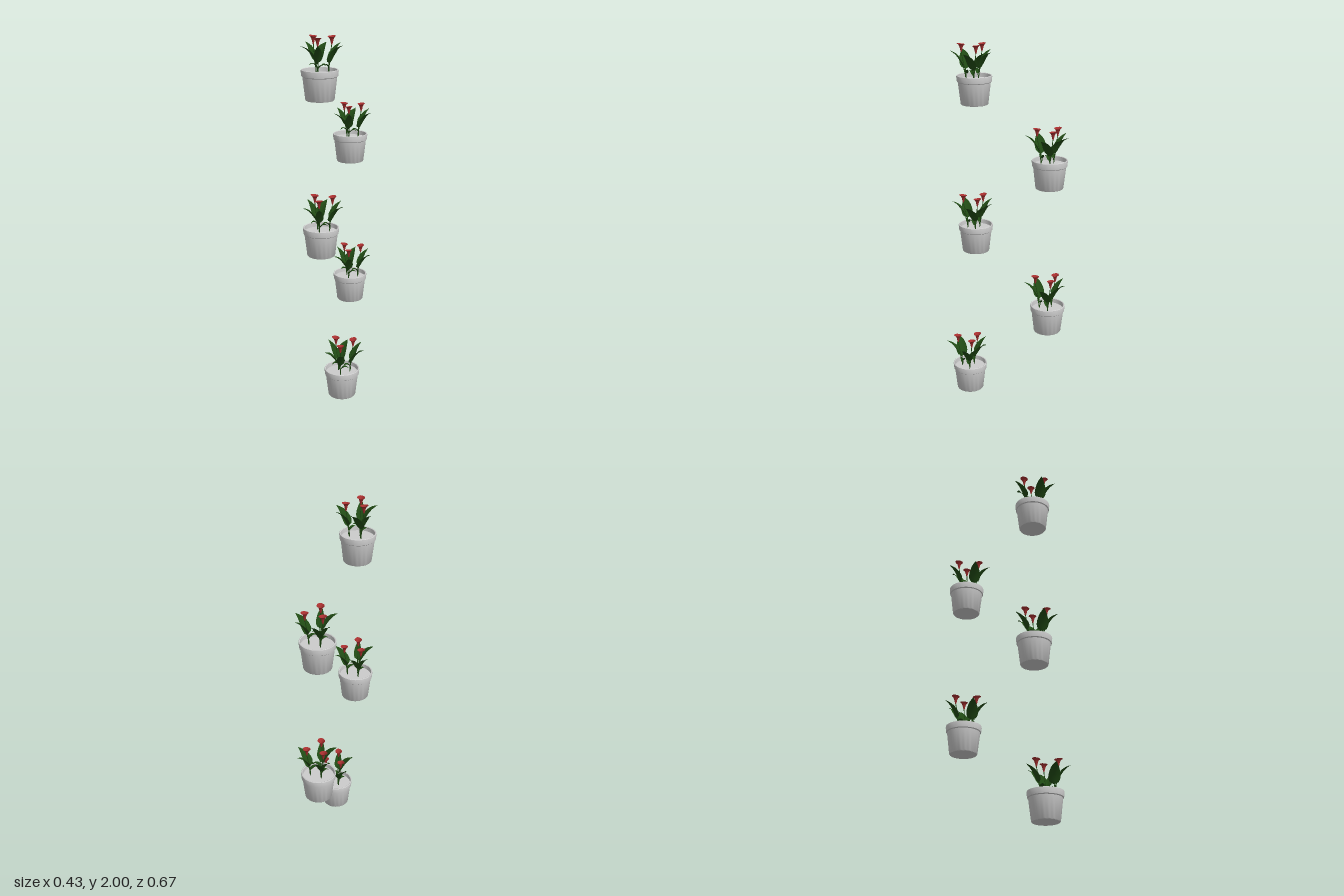
import * as THREE from 'three';
import { toCreasedNormals } from 'three/addons/utils/BufferGeometryUtils.js';

const V = (x, y, z) => new THREE.Vector3(x, y, z);
const grey = new THREE.MeshStandardMaterial({ color: 0xcccccc });
const green = new THREE.MeshStandardMaterial({ color: 0x204a14, side: THREE.DoubleSide });
const red = new THREE.MeshStandardMaterial({ color: 0xa82f2f, side: THREE.DoubleSide });
const SOIL = 0.135;

function add(parent, name, geometry, material) {
  const mesh = new THREE.Mesh(geometry, material);
  mesh.name = name;
  parent.add(mesh);
  return mesh;
}

// Pointed blade swept along a curve, folded upward along its midrib
function bladeGeometry(points, width, fold) {
  const curve = new THREE.CatmullRomCurve3(points);
  const geo = new THREE.PlaneGeometry(1, 1, 4, 12);
  const pos = geo.attributes.position;
  for (let i = 0; i < pos.count; i++) {
    const c = pos.getX(i) * 2;
    const t = pos.getY(i) + 0.5;
    const tangent = curve.getTangent(t);
    const side = V(0, 1, 0).cross(tangent).normalize();
    const normal = tangent.clone().cross(side);
    const w = 0.5 * width * Math.sin(Math.PI * Math.pow(t, 0.55));
    const p = curve.getPoint(t)
      .addScaledVector(side, c * w)
      .addScaledVector(normal, fold * w * c * c);
    pos.setXYZ(i, p.x, p.y, p.z);
  }
  geo.computeVertexNormals();
  return geo;
}

function stalkGeometry(points, radius) {
  return new THREE.TubeGeometry(new THREE.CatmullRomCurve3(points), 8, radius, 6);
}

// Trumpet with a flared rim, drawn to a point on its outer side
function flowerGeometry() {
  const profile = [[0.003, 0], [0.006, 0.012], [0.009, 0.025], [0.014, 0.036], [0.021, 0.042]];
  const geo = new THREE.LatheGeometry(profile.map(([r, y]) => new THREE.Vector2(r, y)), 18);
  const pos = geo.attributes.position;
  for (let i = 0; i < pos.count; i++) {
    const x = pos.getX(i), y = pos.getY(i), z = pos.getZ(i);
    const flare = (y / 0.042) ** 3;
    const point = Math.max(0, -x / 0.021) ** 4 * flare;
    pos.setXYZ(i, x - 0.004 * point, y - 0.12 * x * flare, z);
  }
  geo.computeVertexNormals();
  return geo;
}

// One flowering shoot: flower, two tall leaves and one low leaf
function shoot(lowLeafTurn) {
  const g = new THREE.Group();
  g.name = 'shoot';
  add(g, 'flowerStem', stalkGeometry(
    [V(0, SOIL, 0), V(-0.006, 0.2, -0.002), V(-0.016, 0.25, -0.006), V(-0.022, 0.286, -0.009)], 0.0022), green);
  const flower = add(g, 'flower', flowerGeometry(), red);
  flower.position.set(-0.022, 0.284, -0.009);
  const spadix = add(g, 'spadix', new THREE.CylinderGeometry(0.0015, 0.0025, 0.028, 6), red);
  spadix.position.set(-0.022, 0.3, -0.009);

  add(g, 'wideLeaf', bladeGeometry(
    [V(0.001, 0.19, -0.008), V(0.002, 0.23, -0.03), V(0.004, 0.268, -0.06), V(0.005, 0.288, -0.093)], 0.064, 0.3), green);
  add(g, 'wideLeafStalk', stalkGeometry([V(0, SOIL, 0), V(0, 0.165, -0.002), V(0.001, 0.192, -0.009)], 0.002), green);

  add(g, 'narrowLeaf', bladeGeometry(
    [V(-0.012, 0.2, -0.004), V(-0.03, 0.235, -0.009), V(-0.055, 0.27, -0.018), V(-0.084, 0.292, -0.028)], 0.044, 0.4), green);
  add(g, 'narrowLeafStalk', stalkGeometry([V(0, SOIL, 0), V(-0.005, 0.17, -0.002), V(-0.013, 0.202, -0.004)], 0.002), green);

  const low = new THREE.Group();
  low.name = 'lowLeaf';
  low.rotation.y = lowLeafTurn;
  add(low, 'lowLeafBlade', bladeGeometry(
    [V(0.006, 0.165, 0), V(-0.003, 0.183, 0.014), V(-0.011, 0.188, 0.028), V(-0.018, 0.18, 0.042)], 0.024, 0.4), green);
  add(low, 'lowLeafStalk', stalkGeometry([V(0, SOIL, 0), V(0.005, 0.15, -0.002), V(0.006, 0.167, 0.001)], 0.0015), green);
  g.add(low);
  return g;
}

// Tapered pot with a rolled rim, filled with soil
function pottedPlant() {
  const g = new THREE.Group();
  const profile = [[0, 0], [0.073, 0], [0.076, 0.004], [0.09, 0.122], [0.095, 0.126], [0.098, 0.152],
    [0.097, 0.158], [0.094, 0.16], [0.09, 0.158], [0.087, 0.12]];
  const pot = new THREE.LatheGeometry(profile.map(([r, y]) => new THREE.Vector2(r, y)), 40);
  add(g, 'pot', toCreasedNormals(pot, 0.6), grey);
  const soil = add(g, 'soil', new THREE.CircleGeometry(0.0885, 40), grey);
  soil.rotation.x = -Math.PI / 2;
  soil.position.y = SOIL;

  const deg = Math.PI / 180;
  const shoots = [[-0.027, -0.009, 0, 0], [0.037, -0.023, -89, 89], [0.018, 0.043, -220, 0]];
  for (const [x, z, turn, lowTurn] of shoots) {
    const s = shoot(lowTurn * deg);
    s.position.set(x, 0, z);
    s.rotation.y = turn * deg;
    g.add(s);
  }
  return g;
}

export function createModel() {
  const model = new THREE.Group();
  model.name = 'hangingPottedPlants';
  const spots = [[0.081, 0, 0.185], [-0.107, 0.4, -0.225], [-0.031, 0.822, 0.215],
    [-0.107, 1.247, -0.225], [-0.031, 1.672, 0.215]];
  const plant = pottedPlant();
  spots.forEach(([x, y, z], i) => {
    const copy = plant.clone();
    copy.name = `pottedPlant${i + 1}`;
    copy.position.set(x, y, z);
    model.add(copy);
  });
  return model;
}
